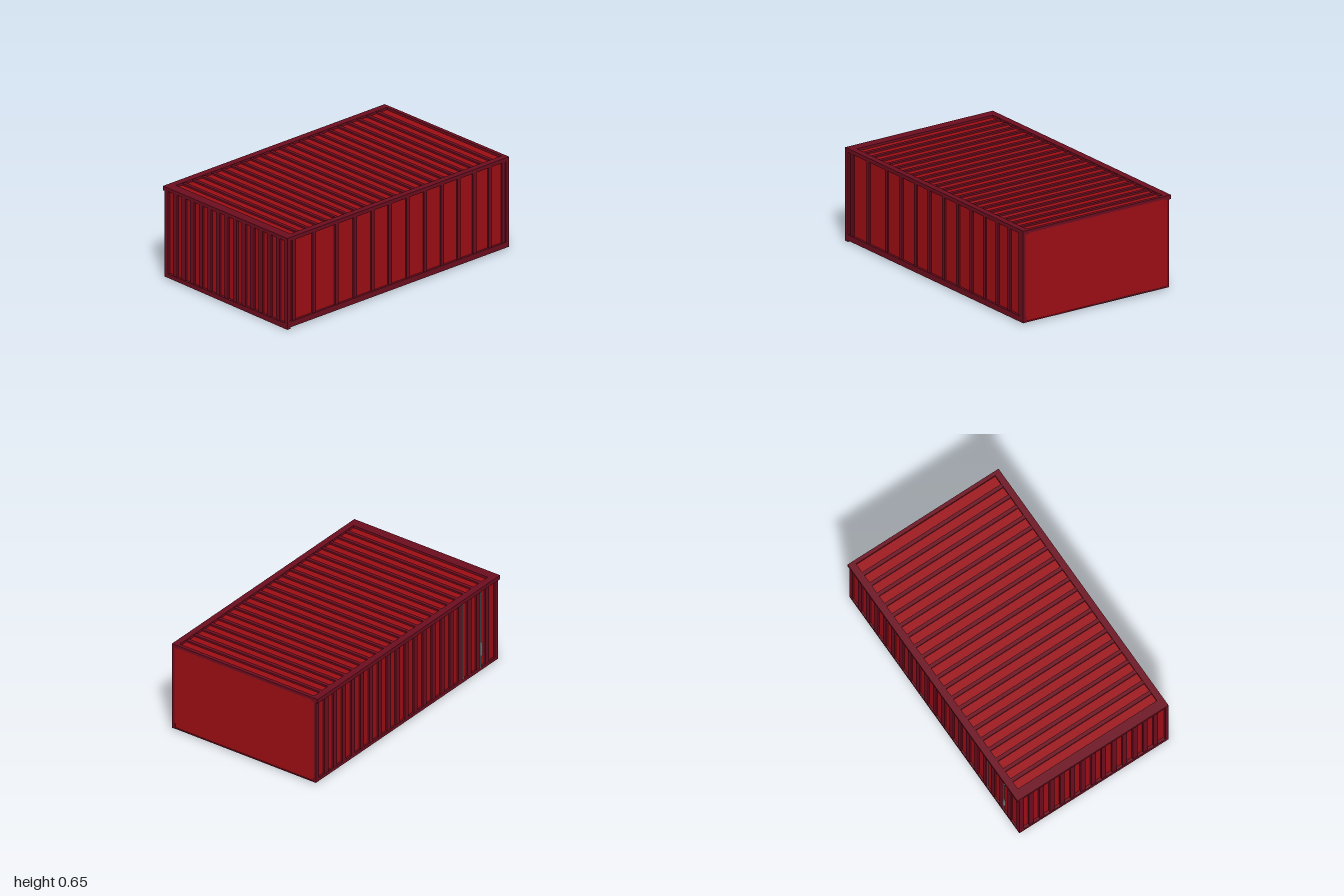
import * as THREE from 'three';

const red = new THREE.MeshStandardMaterial({ color: 0x9b0d13 });
const maroon = new THREE.MeshStandardMaterial({ color: 0x6b0d1e });
const steel = new THREE.MeshStandardMaterial({ color: 0x8a9296 });

export function createModel() {
  const root = new THREE.Group();
  root.name = 'shippingContainer';

  // Box given by its two extents on each axis
  const box = (name, [x0, x1], [y0, y1], [z0, z1], material = maroon, parent = root) => {
    const mesh = new THREE.Mesh(new THREE.BoxGeometry(x1 - x0, y1 - y0, z1 - z0), material);
    mesh.position.set((x0 + x1) / 2, (y0 + y1) / 2, (z0 + z1) / 2);
    mesh.name = name;
    parent.add(mesh);
    return mesh;
  };
  const group = (name) => {
    const g = new THREE.Group();
    g.name = name;
    root.add(g);
    return g;
  };

  // Sheet-metal body with a plain right-hand end and floor
  box('body', [-0.982, 0.997], [0.012, 0.638], [-0.572, 0.584], red);

  // Roof frame
  box('topFrontRail', [-1, 1], [0.628, 0.655], [0.555, 0.6]);
  box('topBackRail', [-1, 1], [0.625, 0.655], [-0.6, -0.55]);
  box('topRibbedEndRail', [-1, -0.93], [0.63, 0.655], [-0.56, 0.56]);
  box('topPlainEndRail', [0.973, 1], [0.635, 0.655], [-0.56, 0.56]);

  // Bottom frame
  box('bottomFrontRail', [-1, 1], [0.01, 0.05], [0.575, 0.6]);
  box('bottomBackRail', [-1, 1], [0.011, 0.035], [-0.585, -0.565]);
  box('bottomPlainEndRail', [0.98, 1], [0.011, 0.02], [-0.575, 0.58]);

  // Ribbed-end sill, its underside dropping towards the front
  const sill = box('bottomRibbedEndRail', [-1, -0.97], [0, 0.04], [-0.585, 0.6]);
  const p = sill.geometry.attributes.position;
  for (let i = 0; i < p.count; i++) {
    if (p.getY(i) < 0 && p.getZ(i) < 0) p.setY(i, p.getY(i) + 0.012);
  }
  sill.geometry.computeVertexNormals();

  // Corner posts
  box('frontPostRibbedEnd', [-1, -0.97], [0.01, 0.655], [0.575, 0.6]);
  box('frontPostPlainEnd', [0.97, 1], [0.01, 0.655], [0.58, 0.6]);
  box('backPostRibbedEnd', [-1, -0.965], [0.012, 0.64], [-0.585, -0.55]);
  box('backPostPlainEnd', [0.965, 1], [0.012, 0.64], [-0.585, -0.57]);

  // Roof ribs
  const roofRibs = group('roofRibs');
  for (let i = 1; i < 22; i++) {
    const x = -0.93 + i * 0.0873;
    box('roofRib', [x - 0.026, x], [0.63, 0.65], [-0.56, 0.56], maroon, roofRibs);
  }

  // Front ribs, spacing narrows towards the plain end
  const frontRibs = group('frontRibs');
  for (const x of [-0.933, -0.751, -0.548, -0.382, -0.222, -0.067, 0.094,
    0.251, 0.404, 0.553, 0.695, 0.832, 0.955]) {
    box('frontRib', [x - 0.014, x + 0.014], [0.03, 0.64], [0.575, 0.595], maroon, frontRibs);
  }

  // Back ribs
  const backRibs = group('backRibs');
  for (let i = 1; i < 20; i++) {
    const x = -0.98 + i * 0.098;
    box('backRib', [x - 0.02, x + 0.02], [0.02, 0.64], [-0.584, -0.565], maroon, backRibs);
  }

  // Ribs on the ribbed end
  const endRibs = group('endRibs');
  for (let i = 1; i < 14; i++) {
    const z = -0.57 + i * 0.0825;
    box('endRib', [-0.996, -0.975], [0.02, 0.64], [z - 0.018, z + 0.018], maroon, endRibs);
  }

  // Lock rods and handle on the back
  for (const x of [-0.62, -0.81]) {
    const rod = new THREE.Mesh(new THREE.CylinderGeometry(0.006, 0.006, 0.6, 8), steel);
    rod.position.set(x, 0.33, -0.58);
    rod.name = 'lockRod';
    root.add(rod);
  }
  box('lockHandle', [-0.822, -0.806], [0.12, 0.22], [-0.588, -0.575], steel);

  return root;
}
